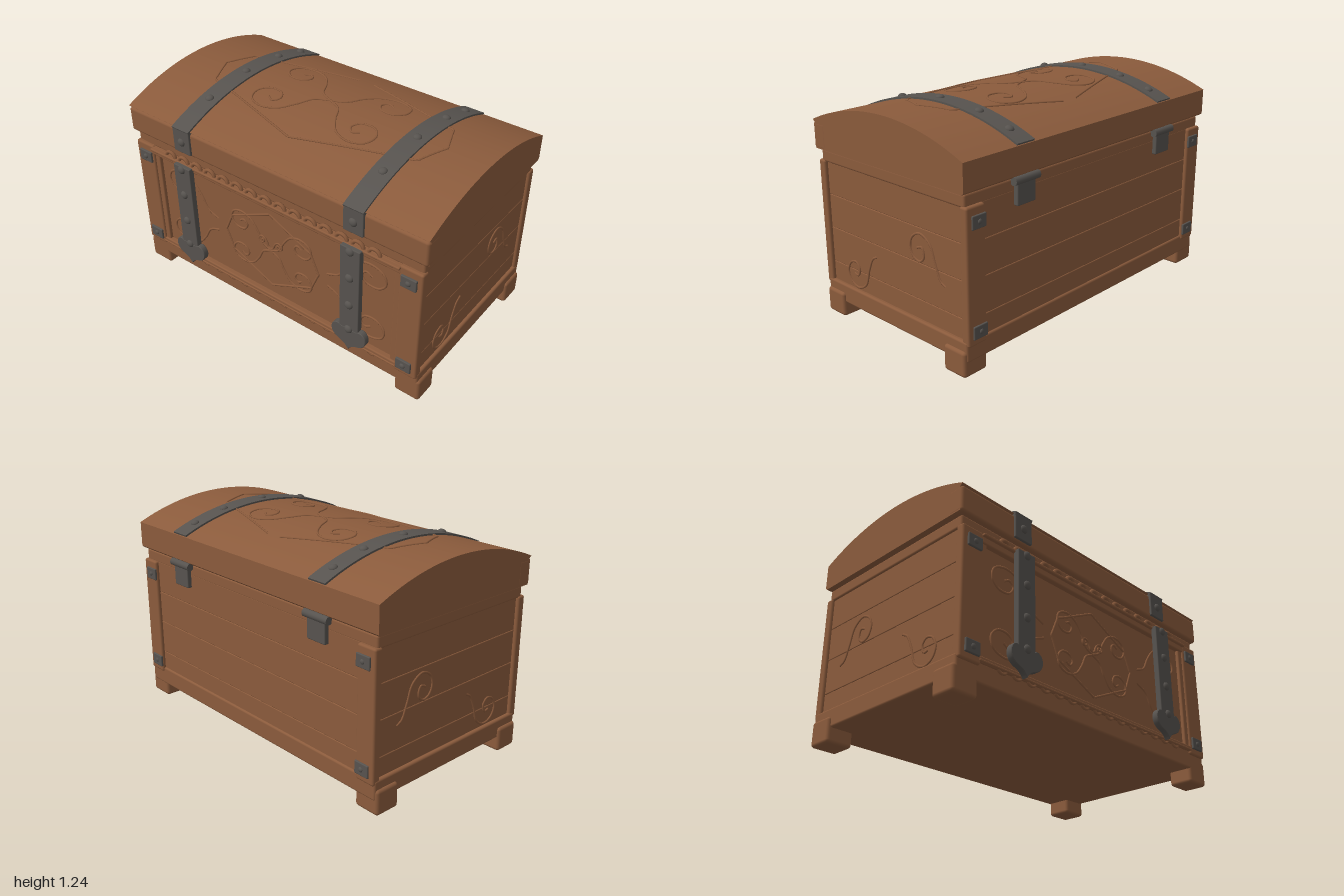
import * as THREE from 'three';
import { toCreasedNormals } from 'three/addons/utils/BufferGeometryUtils.js';
import { RoundedBoxGeometry } from 'three/addons/geometries/RoundedBoxGeometry.js';

const wood = new THREE.MeshStandardMaterial({ color: 0x8b5b3c });
wood.name = 'brown wood';
const iron = new THREE.MeshStandardMaterial({ color: 0x57534f });
iron.name = 'dark iron';

// Lid arch: a circle around (z = ARC_Z, y = ARC_Y)
const ARC_Z = -0.017, ARC_R = 1.404, ARC_Y = 1.22 - ARC_R;
const arcY = (z, r = ARC_R) => ARC_Y + Math.sqrt(r * r - (z - ARC_Z) ** 2);

// S-shaped scroll ending in a curl, starting at the origin
const SCROLL = [[0, 0], [0.08, 0.04], [0.13, 0.13], [0.2, 0.215], [0.3, 0.245], [0.385, 0.21],
  [0.4, 0.14], [0.35, 0.085], [0.27, 0.09], [0.24, 0.14], [0.27, 0.175], [0.31, 0.155]];

export function createModel() {
  const chest = new THREE.Group();
  chest.name = 'treasureChest';

  const add = (name, geometry, material, parent = chest) => {
    const mesh = new THREE.Mesh(geometry, material);
    mesh.name = name;
    parent.add(mesh);
    return mesh;
  };
  const group = (name) => {
    const g = new THREE.Group();
    g.name = name;
    chest.add(g);
    return g;
  };
  // Softly rounded block given by its limits on each axis
  const block = (name, [x0, x1], [y0, y1], [z0, z1], material, parent, radius = 0.012) => {
    const geo = new RoundedBoxGeometry(x1 - x0, y1 - y0, z1 - z0, 2, radius);
    geo.translate((x0 + x1) / 2, (y0 + y1) / 2, (z0 + z1) / 2);
    return add(name, geo, material, parent);
  };
  const span = (s, a, b) => (s > 0 ? [a, b] : [-b, -a]);
  // Domed rivet facing a given direction
  const rivet = (x, y, z, dir, parent, r = 0.025) => {
    const geo = new THREE.SphereGeometry(r, 14, 6, 0, Math.PI * 2, 0, Math.PI / 2);
    geo.scale(1, 0.65, 1);
    const m = add('rivet', geo, iron, parent);
    m.position.set(x, y, z);
    m.quaternion.setFromUnitVectors(new THREE.Vector3(0, 1, 0), dir.clone().normalize());
  };
  // Raised line following points
  const line = (name, points, parent, radius = 0.006) => {
    const curve = new THREE.CatmullRomCurve3(points, false, 'centripetal');
    return add(name, new THREE.TubeGeometry(curve, points.length * 6, radius, 6), wood, parent);
  };
  // Straight-sided outline split into short steps
  const dense = (pts, n = 8) => {
    const out = [pts[0]];
    for (let i = 1; i < pts.length; i++)
      for (let k = 1; k <= n; k++)
        out.push(pts[i].map((v, j) => pts[i - 1][j] + (v - pts[i - 1][j]) * k / n));
    return out;
  };
  // Extrude a (z, y) profile along x, centred on x
  const sweepX = (shape, width, x) => {
    let geo = new THREE.ExtrudeGeometry(shape, { depth: width, bevelEnabled: false, curveSegments: 40 });
    geo.translate(0, 0, -width / 2);
    geo.rotateY(-Math.PI / 2);
    geo.translate(x, 0, 0);
    return toCreasedNormals(geo, 0.4);
  };
  const FRONT = new THREE.Vector3(0, 0, 1), BACK = new THREE.Vector3(0, 0, -1);

  // Planked body
  const body = group('body');
  const seams = [0.17, 0.3, 0.5, 0.69, 0.88];
  for (let i = 0; i < 4; i++)
    block('plank', [-0.965, 0.965], [seams[i], seams[i + 1]], [-0.565, 0.495], wood, body, 0.005);
  block('upperRim', [-0.975, 0.975], [0.87, 0.94], [-0.565, 0.525], wood, body);
  block('baseMoulding', [-0.985, 0.985], [0.082, 0.192], [-0.575, 0.53], wood, body);
  block('frontPanel', [-0.82, 0.82], [0.19, 0.87], [0.4, 0.515], wood, body, 0.004);
  for (const [y0, y1] of [[0.182, 0.215], [0.825, 0.875]])
    block('frontRail', [-0.855, 0.855], [y0, y1], [0.49, 0.545], wood, body, 0.008);

  for (const s of [1, -1]) {
    block('frontStile', span(s, 0.812, 0.852), [0.19, 0.86], [0.48, 0.535], wood, body, 0.008);
    block('frontPost', span(s, 0.845, 0.982), [0.165, 0.88], [0.495, 0.546], wood, body);
    block('backPost', span(s, 0.86, 0.982), [0.165, 0.88], [-0.585, -0.535], wood, body);
    for (const z of [[0.385, 0.53], [-0.57, -0.42]])
      block('foot', span(s, 0.845, 1), [0, 0.142], z, wood, body, 0.018);

    // Iron corner plates, front and back
    for (const y of [0.235, 0.8]) {
      const x = span(s, 0.86, 0.952);
      block('frontCornerPlate', x, [y - 0.035, y + 0.035], [0.54, 0.558], iron, body, 0.005);
      rivet(s * 0.905, y, 0.556, FRONT, body, 0.016);
      block('backCornerPlate', x, [y - 0.035, y + 0.035], [-0.594, -0.58], iron, body, 0.005);
      rivet(s * 0.905, y, -0.592, BACK, body, 0.014);
    }
  }

  // Scalloped trim along the top and bottom of the front
  const trim = group('scallopTrim');
  for (let i = -7; i <= 7; i++) {
    const top = add('topScallop', new THREE.TorusGeometry(0.034, 0.011, 6, 12, Math.PI), wood, trim);
    top.position.set(i * 0.1, 0.868, 0.545);
    const low = add('bottomScallop', new THREE.TorusGeometry(0.034, 0.009, 6, 12, Math.PI), wood, trim);
    low.position.set(i * 0.1, 0.207, 0.535);
    low.rotation.z = Math.PI;
  }
  block('topBead', [-0.855, 0.855], [0.858, 0.874], [0.53, 0.563], wood, trim, 0.006);
  block('bottomBead', [-0.855, 0.855], [0.185, 0.197], [0.52, 0.55], wood, trim, 0.005);

  // Front carving: medallion and scrolls
  const carving = group('frontCarving');
  const outline = [[0, 0.77], [0.28, 0.635], [0.33, 0.52], [0.28, 0.4], [0, 0.27]];
  for (const sx of [1, -1]) {
    line('medallionEdge', dense(outline).map(([x, y]) => new THREE.Vector3(sx * x, y, 0.516)), carving, 0.007);
    for (const sy of [1, -1]) {
      for (const [x, y, kx, ky] of [[0, 0.52, 0.7, 0.72], [0.39, 0.52 + sy * 0.04, 0.92, 0.85]])
        line('scroll', SCROLL.map(([u, v]) =>
          new THREE.Vector3(sx * (x + u * kx), y + sy * v * ky, 0.516)), carving, 0.007);
    }
    line('smallScroll', SCROLL.map(([u, v]) =>
      new THREE.Vector3(sx * u * 0.2, 0.535 + v * 0.25, 0.518)), carving, 0.006);
  }

  // Side scrolls as (z, y), the same on both ends
  const sideScrolls = [
    [[0.11, 0.43], [0.145, 0.41], [0.18, 0.34], [0.215, 0.24], [0.28, 0.203], [0.34, 0.225],
      [0.364, 0.28], [0.34, 0.335], [0.295, 0.35], [0.265, 0.32], [0.28, 0.275], [0.31, 0.28]],
    [[-0.415, 0.43], [-0.38, 0.45], [-0.345, 0.53], [-0.31, 0.62], [-0.24, 0.66], [-0.18, 0.63],
      [-0.163, 0.575], [-0.185, 0.525], [-0.23, 0.51], [-0.262, 0.54], [-0.25, 0.59], [-0.215, 0.58]],
  ];
  for (const s of [1, -1])
    for (const pts of sideScrolls)
      line('sideScroll', pts.map(([z, y]) => new THREE.Vector3(s * 0.965, y, z)), undefined, 0.007);

  // Arched lid
  const lid = group('lid');
  const profile = new THREE.Shape();
  profile.moveTo(-0.575, 0.945);
  profile.lineTo(0.535, 0.945);
  profile.lineTo(0.535, 1.09);
  profile.lineTo(0.549, 1.1);
  for (let i = 0; i <= 40; i++) {
    const z = 0.549 - i * 1.134 / 40;
    profile.lineTo(z, arcY(z));
  }
  profile.lineTo(-0.585, 0.955);
  add('lidArch', sweepX(profile, 1.998, 0), wood, lid);
  block('lidFrontRail', [-1, 1], [0.942, 1.09], [0.45, 0.55], wood, lid, 0.016);

  // Lid carving laid on the arch
  const onLid = (x, z) => new THREE.Vector3(x, arcY(z) + 0.001, z);
  const lidOutline = [[0.05, -0.365], [0.68, -0.175], [0.75, 0], [0.68, 0.165], [0, 0.345]];
  for (const sx of [1, -1]) {
    line('lidOutline', dense(lidOutline).map(([x, z]) => onLid(sx * x, z)), lid);
    for (const sz of [1, -1])
      line('lidScroll', SCROLL.map(([u, v]) => onLid(sx * u, -0.02 + sz * v)), lid);
  }

  // Iron straps, spear tips and hinges
  const tip = new THREE.Shape();
  tip.moveTo(0, 0.18);
  tip.quadraticCurveTo(0.02, 0.215, 0.06, 0.225);
  tip.bezierCurveTo(0.115, 0.245, 0.12, 0.3, 0.09, 0.325);
  tip.quadraticCurveTo(0.07, 0.34, 0.055, 0.325);
  tip.lineTo(-0.055, 0.325);
  tip.quadraticCurveTo(-0.07, 0.34, -0.09, 0.325);
  tip.bezierCurveTo(-0.12, 0.3, -0.115, 0.245, -0.06, 0.225);
  tip.quadraticCurveTo(-0.02, 0.215, 0, 0.18);

  const band = new THREE.Shape();
  const a0 = Math.acos((0.562 - ARC_Z) / ARC_R), a1 = Math.acos((-0.58 - ARC_Z) / ARC_R);
  band.absarc(ARC_Z, ARC_Y, ARC_R + 0.01, a0, a1, false);
  band.absarc(ARC_Z, ARC_Y, ARC_R - 0.008, a1, a0, true);

  for (const s of [1, -1]) {
    const straps = group(s > 0 ? 'leftStrap' : 'rightStrap');
    const x = s * 0.58, sides = [x - 0.061, x + 0.061];
    add('lidBand', sweepX(band, 0.122, x), iron, straps);
    block('lidFrontStrap', sides, [0.953, 1.103], [0.53, 0.563], iron, straps, 0.005);
    rivet(x, 1.022, 0.561, FRONT, straps);
    for (const z of [0.32, 0.015, -0.27, -0.475])
      rivet(x, arcY(z, ARC_R + 0.009), z, new THREE.Vector3(0, arcY(z) - ARC_Y, z - ARC_Z), straps, 0.024);

    block('bodyStrap', sides, [0.3, 0.872], [0.55, 0.585], iron, straps, 0.005);
    const spear = new THREE.ExtrudeGeometry(tip, {
      depth: 0.028, bevelThickness: 0.004, bevelSize: 0.003, bevelSegments: 1, curveSegments: 10 });
    spear.translate(x, 0, 0.555);
    add('spearTip', toCreasedNormals(spear, 0.5), iron, straps);
    for (const y of [0.852, 0.68, 0.497, 0.325]) rivet(x, y, 0.584, FRONT, straps);

    // Back hinge
    const barrel = new THREE.CylinderGeometry(0.022, 0.022, 0.175, 14);
    barrel.rotateZ(Math.PI / 2);
    barrel.translate(x, 0.93, -0.582);
    add('hingeBarrel', barrel, iron, straps);
    block('hingeLeaf', [x - 0.065, x + 0.065], [0.8, 0.925], [-0.59, -0.56], iron, straps, 0.006);
  }
  return chest;
}
